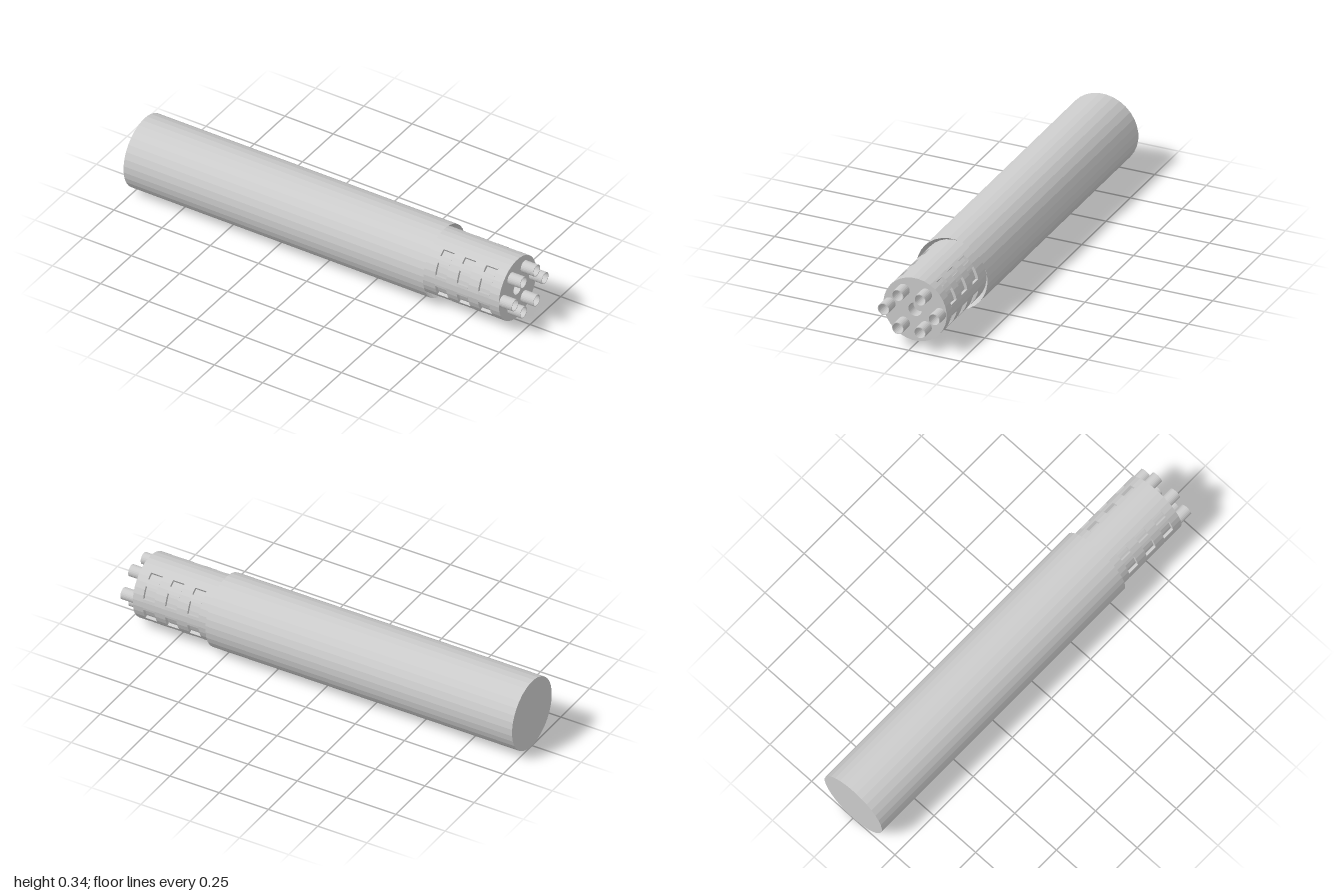
import * as THREE from 'three';

const SIDES = 32, AXIS_Y = 0.174;
const BODY_R = 0.172, SLEEVE_R = 0.153, RECESS = 0.014;
// Angular spans of the windows in degrees, measured up from the front
const FRONT_ROWS = [[-57, -45], [-33, -10], [11, 34], [46, 58]];
const ROWS = [...FRONT_ROWS, ...FRONT_ROWS.map(([a, b]) => [180 - b, 180 - a])];

const material = new THREE.MeshStandardMaterial({
  color: 0xcccccc, flatShading: true, side: THREE.DoubleSide,
});

function add(parent, name, geometry) {
  const mesh = new THREE.Mesh(geometry, material);
  mesh.name = name;
  parent.add(mesh);
  return mesh;
}

// Turned part along x; profile is a list of [radius, x]
function turned(profile, sides) {
  const points = profile.map(([r, x]) => new THREE.Vector2(r, x));
  return new THREE.LatheGeometry(points, sides, Math.PI / sides).rotateZ(-Math.PI / 2);
}

// Round section, notched where windows cut into it
function sleeveShape(rows) {
  const stops = [];
  for (let i = 0; i < SIDES; i++) {
    const a = -90 + ((i + 0.5) * 360) / SIDES;
    const inside = rows.some(([s, e]) => a >= s && a <= e);
    stops.push([a, inside ? SLEEVE_R - RECESS : SLEEVE_R]);
  }
  for (const [s, e] of rows) {
    stops.push([s - 0.01, SLEEVE_R], [s, SLEEVE_R - RECESS]);
    stops.push([e, SLEEVE_R - RECESS], [e + 0.01, SLEEVE_R]);
  }
  stops.sort((p, q) => p[0] - q[0]);
  return new THREE.Shape(stops.map(([deg, r]) => {
    const a = THREE.MathUtils.degToRad(deg);
    return new THREE.Vector2(-r * Math.cos(a), r * Math.sin(a));
  }));
}

// Slab of a section between two x positions
function slab(shape, x0, x1) {
  return new THREE.ExtrudeGeometry(shape, { depth: x1 - x0, bevelEnabled: false, curveSegments: 24 })
    .rotateY(Math.PI / 2).translate(x0, 0, 0);
}

export function createModel() {
  const model = new THREE.Group();
  model.name = 'barrelAssembly';
  const axis = new THREE.Group();
  axis.name = 'barrelParts';
  axis.position.y = AXIS_Y;
  model.add(axis);

  // Long housing with a funnel-shaped mouth
  add(axis, 'housing', turned([[0, -1], [BODY_R, -1], [BODY_R, 0.555], [SLEEVE_R, 0.525]], SIDES));

  // Sleeve: plain bands alternating with windowed bands
  const sleeve = new THREE.Group();
  sleeve.name = 'sleeve';
  axis.add(sleeve);
  const windows = [[0.603, 0.66], [0.715, 0.773], [0.826, 0.884]];
  let x = 0.515;
  for (const [start, end] of windows) {
    add(sleeve, 'plainBand', slab(sleeveShape([]), x, start));
    add(sleeve, 'windowBand', slab(sleeveShape(ROWS), start, end));
    x = end;
  }

  // End plate with the central bore
  const plate = sleeveShape([]);
  plate.holes.push(new THREE.Path().absarc(0, 0, 0.032, 0, Math.PI * 2, true));
  add(sleeve, 'endPlate', slab(plate, x, 0.935));

  // Six hollow muzzles around the bore, as [z, y] offsets
  for (const side of [1, -1]) {
    for (const [z, y] of [[0.122, 0.004], [0.054, 0.085], [0.053, -0.075]]) {
      const tube = turned([[0.028, 0.93], [0.028, 1], [0.025, 1], [0.025, 0.936], [0, 0.936]], 24);
      add(axis, 'muzzle', tube).position.set(0, y, side * z);
    }
  }
  return model;
}
